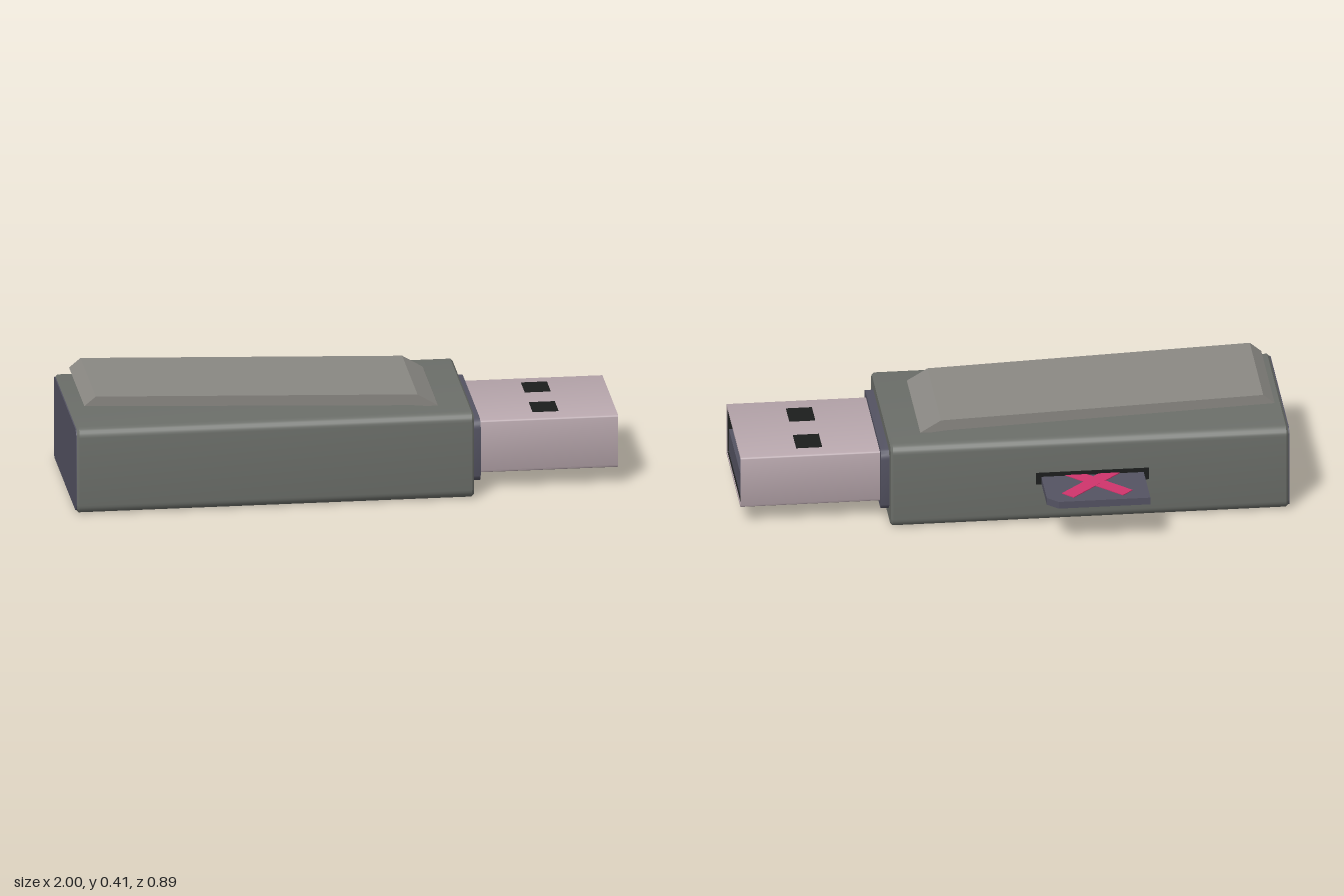
import * as THREE from 'three';
import { toCreasedNormals } from 'three/addons/utils/BufferGeometryUtils.js';

const mat = (name, color) => new THREE.MeshStandardMaterial({ name, color });

// Rounded rectangle outline centred on the origin
function roundRect(w, h, r, Type = THREE.Shape) {
  const x = w / 2 - r, y = h / 2 - r, s = new Type();
  s.absarc(x, y, r, 0, Math.PI / 2);
  s.absarc(-x, y, r, Math.PI / 2, Math.PI);
  s.absarc(-x, -y, r, Math.PI, Math.PI * 1.5);
  s.absarc(x, -y, r, Math.PI * 1.5, Math.PI * 2);
  s.closePath();
  return s;
}

// Rounded bar running along x; an optional wall makes it a tube, an optional bevel softens its ends
function barX(x0, x1, y0, y1, z0, z1, r, { wall = 0, bevel = 0 } = {}) {
  const shape = roundRect(z1 - z0, y1 - y0, r);
  if (wall) {
    shape.holes.push(roundRect(z1 - z0 - 2 * wall, y1 - y0 - 2 * wall, Math.max(r - wall, 0.002), THREE.Path));
  }
  const geo = new THREE.ExtrudeGeometry(shape, {
    depth: x1 - x0 - 2 * bevel, curveSegments: 3, bevelEnabled: bevel > 0,
    bevelThickness: bevel, bevelSize: bevel, bevelOffset: -bevel, bevelSegments: 1,
  });
  geo.rotateY(Math.PI / 2);
  geo.translate(x0 + bevel, (y0 + y1) / 2, (z0 + z1) / 2);
  return toCreasedNormals(geo, 0.65);
}

// Box given by its limits
function boxFrom(x0, x1, y0, y1, z0, z1) {
  return new THREE.BoxGeometry(x1 - x0, y1 - y0, z1 - z0)
    .translate((x0 + x1) / 2, (y0 + y1) / 2, (z0 + z1) / 2);
}

const outline = (pts) => new THREE.Shape(pts.map(([x, y]) => new THREE.Vector2(x, y)));

export function createModel() {
  const model = new THREE.Group();
  model.name = 'usbCardReader';
  const casing = mat('casing grey', 0x6b6e69);
  const clipGrey = mat('clip grey', 0x8a8883);
  const slate = mat('slate plastic', 0x545362);
  const metal = mat('connector metal', 0xb8a7ad);
  const black = mat('black', 0x1c1e1d);
  const magenta = mat('magenta', 0xd0346c);

  const add = (name, geometry, material, parent = model) => {
    const mesh = new THREE.Mesh(geometry, material);
    mesh.name = name;
    parent.add(mesh);
    return mesh;
  };

  // Casing with dark end plate
  add('casing', barX(-0.996, 0.46, 0, 0.327, -0.222, 0.443, 0.034, { bevel: 0.008 }), casing);
  add('endPlate', barX(-1, -0.994, 0.008, 0.319, -0.214, 0.435, 0.027), slate);
  add('collar', barX(0.455, 0.49, 0.045, 0.283, -0.167, 0.39, 0.034), slate);

  // Hollow connector with dark lining and contact tongue
  add('connectorShell', barX(0.485, 1, 0.065, 0.266, -0.124, 0.344, 0.01, { wall: 0.008 }), metal);
  add('connectorLining', barX(0.485, 0.997, 0.073, 0.258, -0.116, 0.336, 0.003, { wall: 0.0015 }), black);
  add('connectorTongue', boxFrom(0.485, 0.992, 0.074, 0.165, -0.115, 0.335), slate);
  for (const z of [-0.01, 0.217]) {
    add('latchWindow', boxFrom(0.695, 0.79, 0.262, 0.268, z - 0.055, z + 0.055), black);
  }

  // Sloping clip on top
  const clip = new THREE.ExtrudeGeometry(outline([
    [-0.957, 0.379], [0.25, 0.332], [0.345, 0.322], [0.34, 0.328], [0.265, 0.373], [-0.915, 0.414],
  ]), { depth: 0.445, bevelEnabled: false });
  add('clip', clip.translate(0, 0, -0.112), clipGrey);

  // Memory card standing out of a slot at the back
  add('cardSlot', boxFrom(-0.485, -0.07, 0.15, 0.196, -0.224, -0.218), black);
  const card = new THREE.Group();
  card.name = 'memoryCard';
  model.add(card);
  const cardGeo = new THREE.ExtrudeGeometry(outline([
    [-0.465, 0.1], [-0.09, 0.1], [-0.09, 0.405], [-0.13, 0.443], [-0.465, 0.443],
  ]), { depth: 0.027, bevelEnabled: false });
  add('cardBody', cardGeo.rotateX(-Math.PI / 2).translate(0, 0.153, 0), slate, card);

  // Painted cross on the card
  for (const side of [-1, 1]) {
    const stroke = add('crossStroke', new THREE.BoxGeometry(0.31, 0.004, 0.055), magenta, card);
    stroke.position.set(-0.278, 0.181 + side * 0.0002, -0.285);
    stroke.rotation.y = side * Math.PI / 4;
  }
  return model;
}
